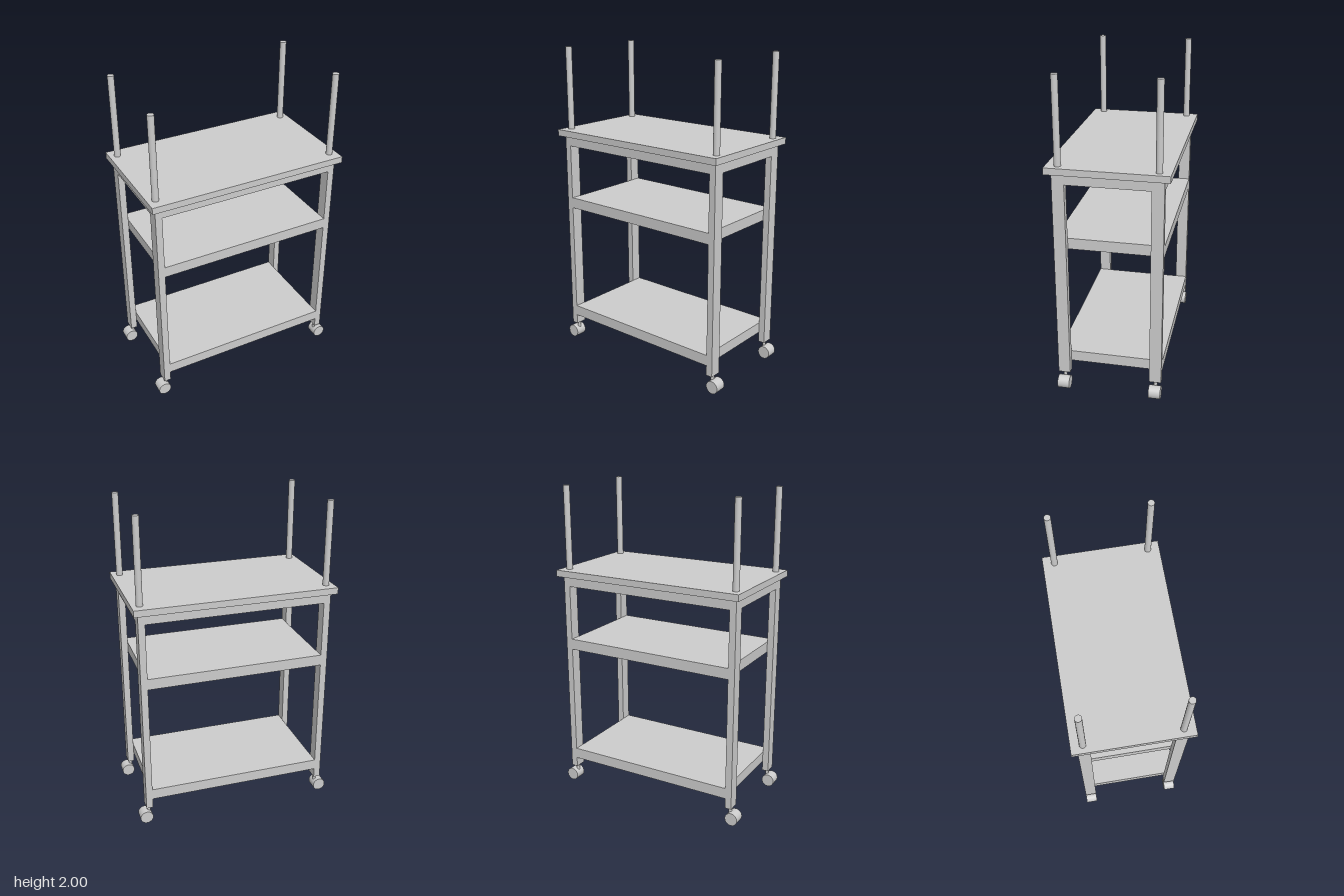
import * as THREE from 'three';

const material = new THREE.MeshStandardMaterial({ color: 0xcccccc });

export function createModel() {
  const cart = new THREE.Group();
  cart.name = 'trolley';

  const add = (name, geometry, x, y, z) => {
    const mesh = new THREE.Mesh(geometry, material);
    mesh.name = name;
    mesh.position.set(x, y, z);
    cart.add(mesh);
    return mesh;
  };

  // Box given by its centre in x and z and its lower and upper heights
  const box = (name, w, d, y0, y1, x = 0, z = 0) =>
    add(name, new THREE.BoxGeometry(w, y1 - y0, d), x, (y0 + y1) / 2, z);

  // Upright cylinder between two heights
  const rod = (name, r, y0, y1, x, z) =>
    add(name, new THREE.CylinderGeometry(r, r, y1 - y0, 32), x, (y0 + y1) / 2, z);

  const legW = 0.042, legD = 0.074;
  const legX = 0.58, legZ = 0.288;
  const innerX = legX - legW / 2, innerZ = legZ - legD / 2;
  const outerZ = legZ + legD / 2;
  const topBottom = 1.435, topSurface = 1.476;

  // Table top and the two shelves held between the legs
  box('tableTop', 1.26, 0.724, topBottom, topSurface);
  box('middleShelf', innerX * 2, outerZ * 2, 0.952, 1.021);
  box('bottomShelf', innerX * 2, outerZ * 2, 0.175, 0.244);

  // Open frame of rails under the table top
  for (const s of [-1, 1]) {
    box('longTopRail', innerX * 2, legW, 1.37, topBottom, 0, s * (outerZ - legW / 2));
    box('sideTopRail', legW, innerZ * 2, 1.37, topBottom, s * legX, 0);
  }

  // Each corner: leg, upper post, caster stem and wheel
  for (const sx of [-1, 1]) {
    for (const sz of [-1, 1]) {
      const x = sx * legX, z = sz * legZ;
      box('leg', legW, legD, 0.111, topBottom, x, z);
      rod('post', 0.02, topSurface, 2, x, sz * 0.29);
      rod('casterStem', 0.011, 0.05, 0.111, x, z);
      const wheel = add('casterWheel', new THREE.CylinderGeometry(0.041, 0.041, legD, 40), sx * 0.601, 0.043, z);
      wheel.rotation.x = Math.PI / 2;
      wheel.position.y = 0.041;
    }
  }

  return cart;
}
